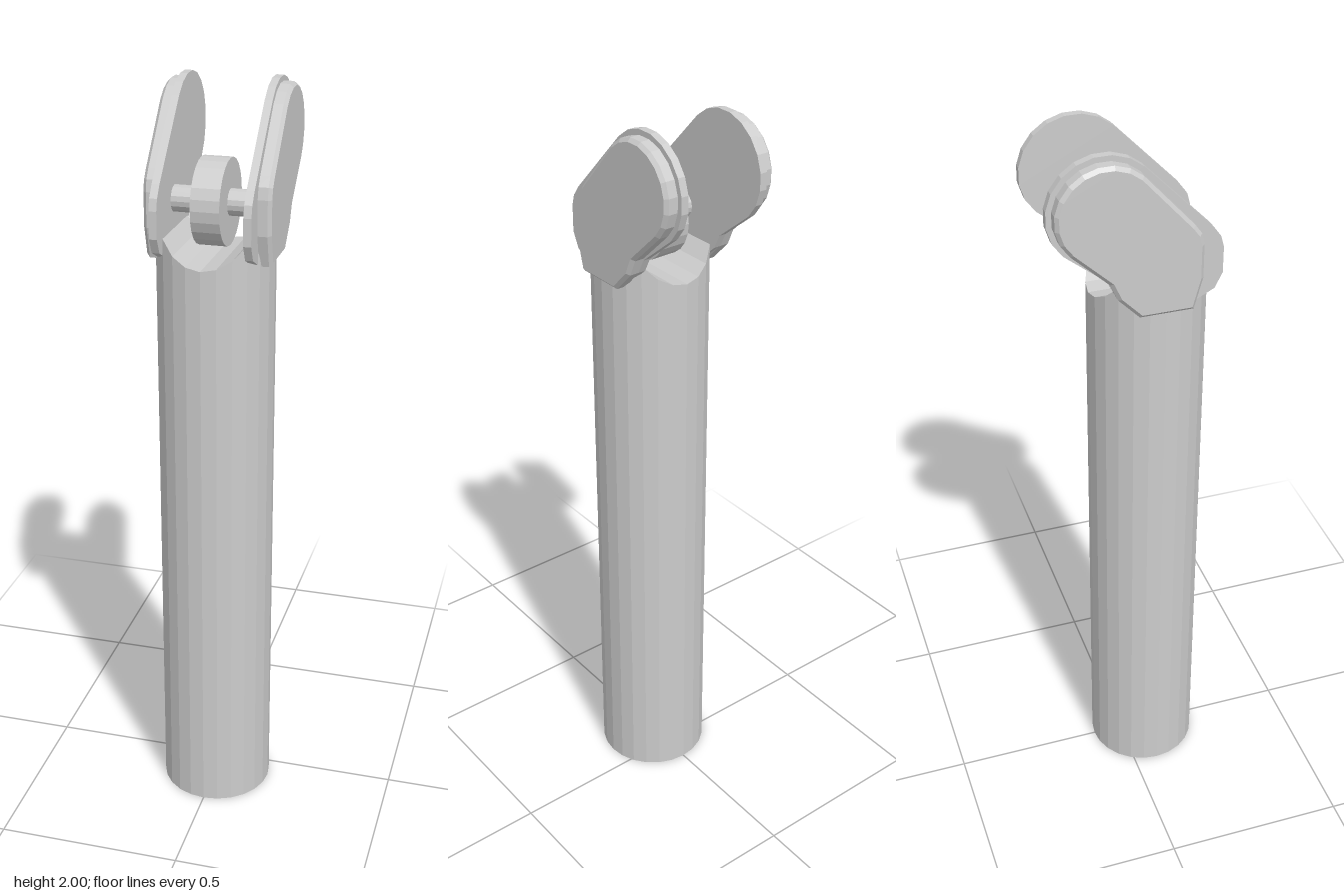
import * as THREE from 'three';

const AXIS_Z = 0.068, RADIUS = 0.152, SIDES = 24, AXLE_Y = 1.715;
// heights of the saddle-shaped tube top, from the middle column out to the side
const RIM = [1.578, 1.585, 1.605, 1.64, 1.61, 1.585, 1.578];

const material = new THREE.MeshStandardMaterial({ color: 0xcccccc, flatShading: true });

function add(parent, name, geometry) {
  const mesh = new THREE.Mesh(geometry, material);
  mesh.name = name;
  parent.add(mesh);
  return mesh;
}

// Height of the rim at a given x
function rimHeight(x) {
  const step = Math.asin(Math.min(1, Math.abs(x) / RADIUS)) / (Math.PI * 2 / SIDES);
  return RIM[Math.min(6, Math.round(step))];
}

// Tube wall with its top edge moved to the saddle
function tubeWall() {
  const g = new THREE.CylinderGeometry(RADIUS, RADIUS, 1.578, SIDES, 1, true);
  g.translate(0, 0.789, 0);
  const p = g.attributes.position;
  for (let i = 0; i < p.count; i++) {
    if (p.getY(i) > 1) p.setY(i, rimHeight(p.getX(i)));
  }
  return g.translate(0, 0, AXIS_Z);
}

// Saddle surface: strips running front to back across the tube
function tubeSaddle() {
  const pos = [], index = [];
  for (let i = -6; i <= 6; i++) {
    const a = i * Math.PI * 2 / SIDES;
    const x = RADIUS * Math.sin(a), z = RADIUS * Math.cos(a), y = RIM[Math.abs(i)];
    pos.push(x, y, AXIS_Z + z, x, y, AXIS_Z - z);
    if (i < 6) {
      const k = (i + 6) * 2;
      index.push(k, k + 2, k + 1, k + 1, k + 2, k + 3);
    }
  }
  const g = new THREE.BufferGeometry();
  g.setAttribute('position', new THREE.Float32BufferAttribute(pos, 3));
  g.setIndex(index);
  g.computeVertexNormals();
  return g;
}

// Plate outline in (z, y): straight corners, then a rounded upper end
function plateShape(corners, r) {
  const pts = corners.map(([z, y]) => new THREE.Vector2(z, y));
  for (let i = 0; i <= 10; i++) {
    const a = -Math.PI / 4 + (Math.PI * i) / 10;
    // starts at the lower back and sweeps over the top to the upper front
    pts.push(new THREE.Vector2(-0.082 - r * Math.cos(a), 1.86 + r * Math.sin(a)));
  }
  return new THREE.Shape(pts);
}

// Extrude along x, centred on the origin plane
function plate(shape, width, bevel) {
  const g = new THREE.ExtrudeGeometry(shape, {
    depth: width - 2 * bevel, bevelEnabled: bevel > 0, bevelThickness: bevel,
    bevelSize: bevel, bevelOffset: -bevel, bevelSegments: 1,
  });
  g.translate(0, 0, -(width - 2 * bevel) / 2);
  return g.rotateY(-Math.PI / 2);
}

// Round part lying along x
function roller(radius, width, sides) {
  const g = new THREE.CylinderGeometry(radius, radius, width, sides);
  return g.rotateZ(Math.PI / 2).translate(0, AXLE_Y, AXIS_Z);
}

export function createModel() {
  const model = new THREE.Group();
  model.name = 'rollerPost';

  // Post
  const post = new THREE.Group();
  post.name = 'post';
  model.add(post);
  add(post, 'postWall', tubeWall());
  add(post, 'postSaddle', tubeSaddle());
  const base = new THREE.CircleGeometry(RADIUS, SIDES);
  add(post, 'postBase', base.rotateX(Math.PI / 2).translate(0, 0, AXIS_Z));

  // Wheel on its axle
  add(model, 'axle', roller(0.034, 0.24, 16));
  add(model, 'wheel', roller(0.11, 0.074, 24));

  // Cheek plates: wide inner plate with a bevelled cover outside it
  const inner = plateShape([
    [0.19, 1.78], [0.212, 1.75], [0.22, 1.72], [0.22, 1.65], [0.2, 1.61], [0.155, 1.587],
    [0, 1.587], [-0.055, 1.635], [-0.075, 1.675],
  ], 0.14);
  const cover = plateShape([
    [0.135, 1.805], [0.153, 1.78], [0.16, 1.75], [0.16, 1.66], [0.138, 1.578],
    [0, 1.578], [-0.055, 1.635], [-0.075, 1.68],
  ], 0.126);
  for (const [side, s] of [['left', 1], ['right', -1]]) {
    add(model, side + 'InnerPlate', plate(inner, 0.02, 0)).position.x = s * 0.118;
    add(model, side + 'CoverPlate', plate(cover, 0.044, 0.009)).position.x = s * 0.14;
  }
  return model;
}
